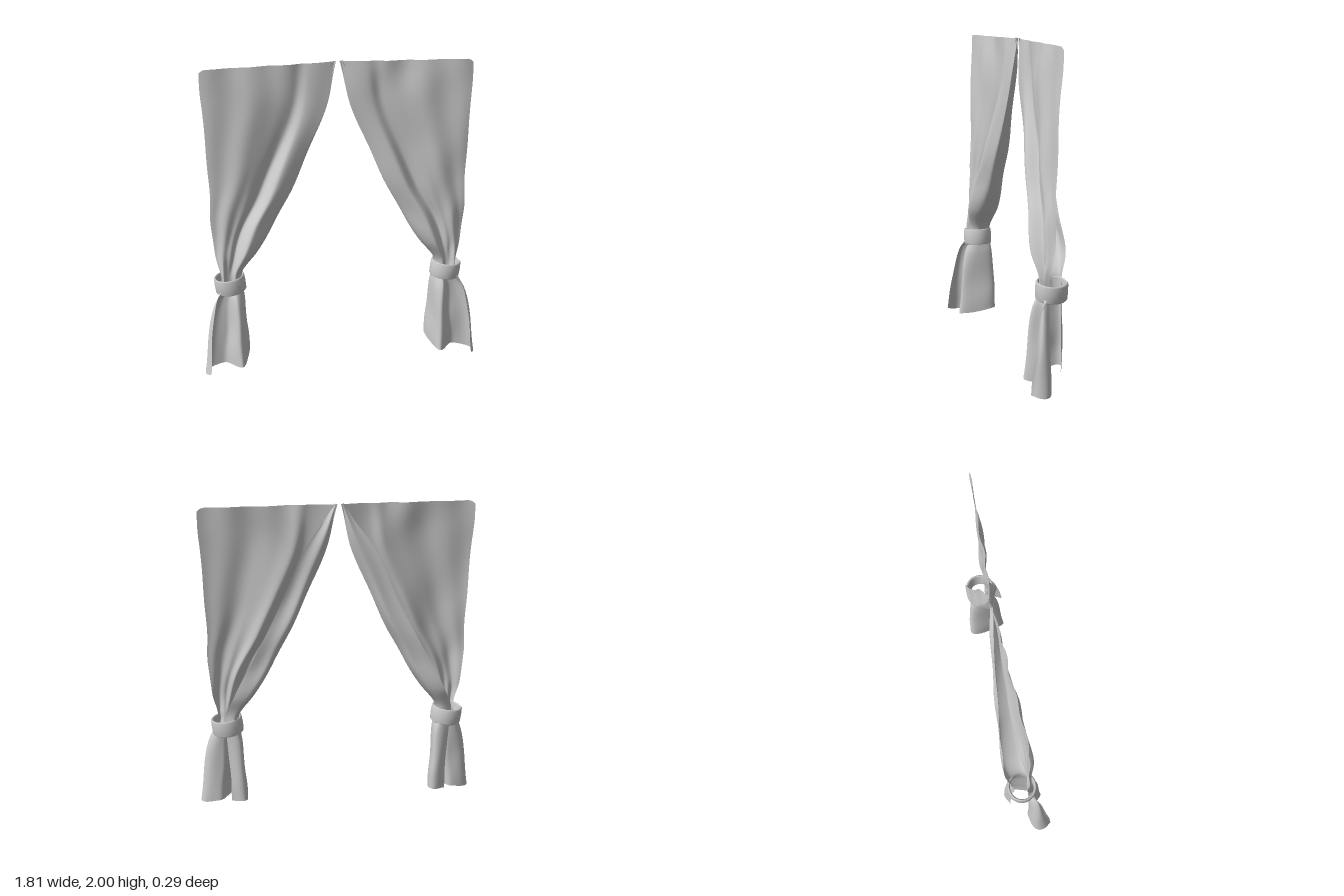
import * as THREE from 'three';

const lerp = THREE.MathUtils.lerp;

// Hanging part: height, outer edge x, crease x, leading edge x, width tucked behind, fullness
const HANGING = [
  [2.0, .84, .30, .01, .02, 0],
  [1.75, .835, .30, .068, .13, .35],
  [1.45, .82, .40, .19, .15, .6],
  [1.2, .815, .50, .305, .155, .8],
  [1.0, .815, .605, .41, .16, .9],
  [.8, .80, .675, .53, .14, 1],
];
// Gathered section at the tie (x, z) and fanned-out bottom hem (x, y, z)
const GATHERED = [[.77, 0], [.755, .03], [.73, 0], [.70, 0], [.675, .03], [.633, -.025], [.66, -.11], [.73, -.09]];
const HEM = [[.87, .02, .15], [.90, 0, .06], [.79, .02, 0], [.72, .03, .05],
  [.67, .04, .12], [.625, .05, .04], [.605, .08, -.13], [.70, .07, -.11]];
// Skirt below the tie: height, amount of flare from gathered to hem
const SKIRT = [[.66, 0], [.58, 0], [.48, .45], [.25, .8], [0, 1]];

// Section from the outer edge over the crease and front fold, round the leading edge to the back
const hangingRow = ([y, outer, crease, inner, tuck, f]) => [
  [outer, -.045 + .025 * f],
  [lerp(outer, crease, .35), -.05 + .06 * f],
  [lerp(outer, crease, .7), -.055 + .065 * f],
  [crease, -.06 - .03 * f + .09 * f ** 4],
  [lerp(crease, inner, .4), -.07 + .13 * f * f],
  [inner, -.08 + .05 * f],
  [inner + .3 * tuck, -.083 - .055 * f],
  [inner + tuck, -.085 - .05 * f],
].map(([x, z]) => new THREE.Vector3(x, y, z));

const skirtRow = ([y, flare]) => HEM.map(([hx, hy, hz], i) => {
  const [x, z] = GATHERED[i];
  return new THREE.Vector3(lerp(x, hx, flare), y === 0 ? hy : y, lerp(z, hz, flare));
});

function drapeGeometry(side) {
  const nu = 72, nv = 100, pos = [], idx = [];
  const rows = [...HANGING.map(hangingRow), ...SKIRT.map(skirtRow)]
    .map(points => new THREE.CatmullRomCurve3(points));
  const grid = [];
  for (let j = 0; j <= nu; j++) {
    const u = j / nu;
    const column = new THREE.CatmullRomCurve3(rows.map(r => r.getPoint(u)));
    grid.push(Array.from({ length: nv + 1 }, (_, i) => {
      const v = i / nv, p = column.getPoint(v);
      // soft wrinkles, fading out at the tie
      const loose = Math.min(1, Math.abs(v - .65) * 4);
      p.z += loose * (.006 * Math.sin(u * 34 + v * 5) + .003 * Math.sin(u * 15 - v * 31));
      p.x += loose * .003 * Math.sin(v * 37 + u * 9);
      // rounded top corners and a slightly lower outer end
      const top = Math.max(0, 1 - v * 10);
      const corner = Math.max(0, 1 - Math.min(u, 1 - u) / .03);
      p.y -= top * (.012 * (1 - u) + .02 * corner * corner);
      return p;
    }));
  }
  for (let i = 0; i <= nv; i++)
    for (let j = 0; j <= nu; j++) {
      const p = grid[j][i];
      pos.push(side * p.x, p.y, p.z);
    }
  for (let i = 0; i < nv; i++)
    for (let j = 0; j < nu; j++) {
      const a = i * (nu + 1) + j, b = a + 1, c = a + nu + 1, d = c + 1;
      if (side > 0) idx.push(a, b, c, b, d, c);
      else idx.push(a, c, b, b, c, d);
    }
  const g = new THREE.BufferGeometry();
  g.setAttribute('position', new THREE.Float32BufferAttribute(pos, 3));
  g.setIndex(idx);
  g.computeVertexNormals();
  return g;
}

// Padded band: a rounded rectangular section turned into a ring
function bandGeometry() {
  const r0 = .082, r1 = .098, h = .053, b = .007;
  const profile = [
    [r0, -h + b], [r0 + b, -h], [r1 - b, -h], [r1, -h + b], [r1 + .002, 0],
    [r1, h - b], [r1 - b, h], [r0 + b, h], [r0, h - b], [r0, -h + b],
  ].map(([x, y]) => new THREE.Vector2(x, y));
  return new THREE.LatheGeometry(profile, 48);
}

export function createModel() {
  const model = new THREE.Group();
  model.name = 'curtains';
  const cloth = new THREE.MeshStandardMaterial({ color: 0xcccccc, side: THREE.DoubleSide });
  for (const side of [1, -1]) {
    const curtain = new THREE.Group();
    curtain.name = side > 0 ? 'leftCurtain' : 'rightCurtain';

    const drape = new THREE.Mesh(drapeGeometry(side), cloth);
    drape.name = 'drape';

    // Tie band, tilted up towards the opening
    const band = new THREE.Mesh(bandGeometry(), cloth);
    band.name = 'tieBand';
    band.position.set(side * .712, .585, -.036);
    band.rotation.z = side * -.12;
    band.scale.z = .96;

    curtain.add(drape, band);
    model.add(curtain);
  }
  return model;
}
